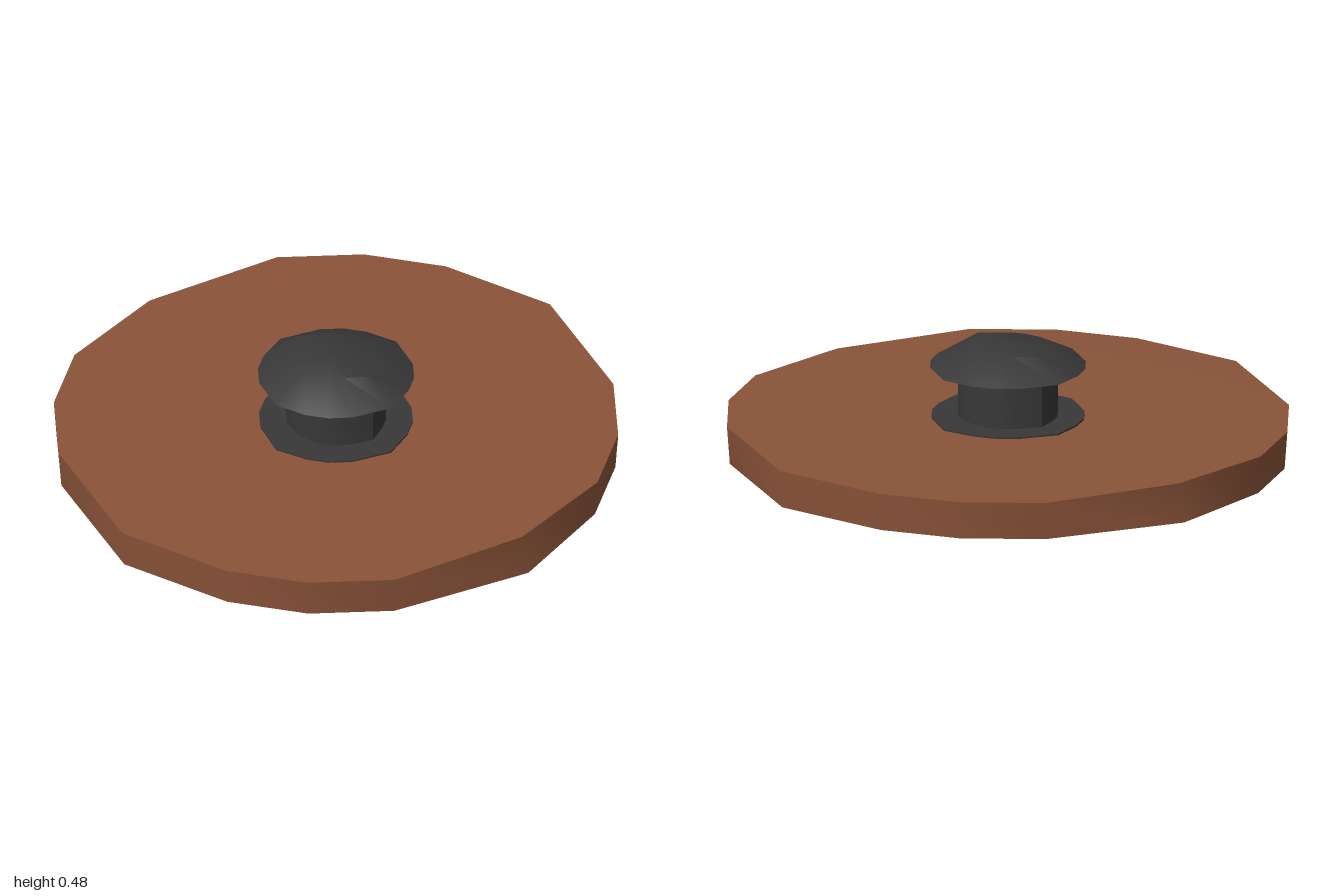
import * as THREE from 'three';
import { toCreasedNormals } from 'three/addons/utils/BufferGeometryUtils.js';

const SIDES = 16;
// Uneven spacing of the corners within each quarter turn, in degrees
const STEPS = [0, 24.7, 41.8, 59.5];

// Hand-cut turned part. Profile rows are [radius, height, scale at the z corners];
// diagonal scales the other corners and tilt leans the part up towards +x and -z.
function turned(name, color, profile, { diagonal = 1, tilt = 0.018 } = {}) {
  const points = profile.map(([r, y]) => new THREE.Vector2(r, y));
  const geometry = new THREE.LatheGeometry(points, SIDES);
  const pos = geometry.attributes.position;
  for (let i = 0; i <= SIDES; i++) {
    const angle = THREE.MathUtils.degToRad(Math.floor(i / 4) * 90 + STEPS[i % 4]);
    profile.forEach(([r, y, zScale = 1], j) => {
      const scale = i % 4 ? diagonal : i % 8 ? 1 : zScale;
      const x = r * scale * Math.sin(angle);
      const z = r * scale * Math.cos(angle);
      pos.setXYZ(i * profile.length + j, x, y + tilt * (x - z), z);
    });
  }
  const material = new THREE.MeshStandardMaterial({ color });
  const mesh = new THREE.Mesh(toCreasedNormals(geometry, 0.6), material);
  mesh.name = name;
  return mesh;
}

export function createModel() {
  const lid = new THREE.Group();
  lid.name = 'potLid';
  const clay = 0x8a5339;
  const iron = 0x383838;

  // Broad flat disc
  lid.add(turned('lidDisc', clay, [
    [0, 0.09], [0.99, 0.09, 0.99], [1, 0.225, 0.95], [0, 0.228],
  ], { diagonal: 0.977 }));

  // Hollow locating rim under the disc
  lid.add(turned('lowerRim', clay, [
    [0.58, 0.11, 1.03], [0.58, 0.018, 1.03], [0.635, 0.018, 1.03], [0.635, 0.11, 1.03],
  ], { diagonal: 1.08, tilt: 0.015 }));

  // Thin flange, stem and cap of the knob
  const knob = new THREE.Group();
  knob.name = 'knob';
  knob.add(turned('knobFlange', iron, [
    [0.28, 0.222], [0.28, 0.233], [0, 0.234],
  ], { diagonal: 0.95 }));
  knob.add(turned('knobStem', iron, [
    [0.168, 0.22, 1.12], [0.168, 0.41, 1.12],
  ], { diagonal: 1.03 }));
  knob.add(turned('knobCap', iron, [
    [0, 0.395], [0.165, 0.395, 1.1], [0.282, 0.413], [0.14, 0.485, 1.2], [0, 0.488],
  ], { diagonal: 0.96, tilt: 0.012 }));
  lid.add(knob);
  return lid;
}
